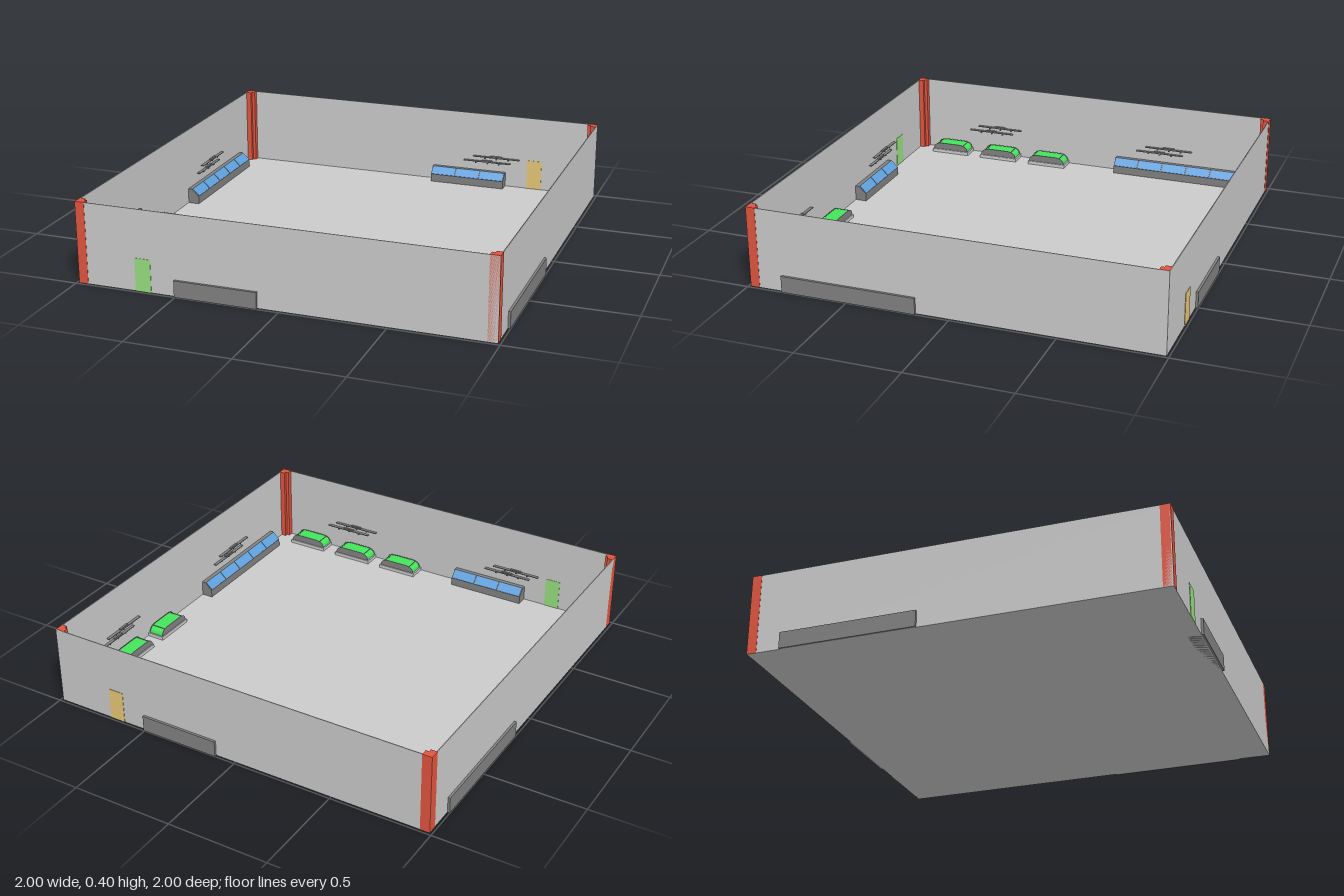
import * as THREE from 'three';

const W = 0.988, H = 0.395, T = 0.004;
const mat = (color) => new THREE.MeshStandardMaterial({ color });
const grey = mat(0xcccccc), dark = mat(0x828282), red = mat(0xe2553f), blue = mat(0x5fa0dc),
  green = mat(0x44e45c), doorGreen = mat(0x98e080), doorYellow = mat(0xe8c878);

function add(parent, name, geo, material, x = 0, y = 0, z = 0) {
  const m = new THREE.Mesh(geo, material);
  m.name = name;
  m.position.set(x, y, z);
  parent.add(m);
  return m;
}
// box given by its min and max corners
function box(parent, name, material, x0, x1, y0, y1, z0, z1) {
  return add(parent, name, new THREE.BoxGeometry(x1 - x0, y1 - y0, z1 - z0), material,
    (x0 + x1) / 2, (y0 + y1) / 2, (z0 + z1) / 2);
}
const shapeOf = (pts) => new THREE.Shape(pts.map((p) => new THREE.Vector2(...p)));
const extrude = (shape, depth) =>
  new THREE.ExtrudeGeometry(shape, { depth, bevelEnabled: false, curveSegments: 10 });

// display counter: sloped blue panels on a dark body, back against the wall
function counter(x0, x1, panels) {
  const g = new THREE.Group();
  g.name = 'counter';
  const front = 0.926, mid = 0.962, back = 0.9995, top = 0.08, lip = 0.045;
  // profile drawn in (-z, y), turned so that it runs along x
  const body = extrude(shapeOf([[-back, 0], [-front, 0], [-front, lip], [-mid, top], [-back, top]]), x1 - x0);
  body.rotateY(Math.PI / 2);
  add(g, 'counterBody', body, dark, x0, 0, 0);
  const step = (x1 - x0) / panels, dz = mid - front, dy = top - lip;
  const len = Math.hypot(dz, dy);
  for (let i = 0; i < panels; i++) {
    const p = add(g, 'counterPanel', new THREE.BoxGeometry(step - 0.007, 0.003, len * 0.96), blue,
      x0 + (i + 0.5) * step, (top + lip) / 2 + 0.0007, (front + mid) / 2 - 0.0007);
    p.rotation.x = -Math.atan2(dy, dz);
  }
  return g;
}

// low chest with a rounded green hood and dark bands
function chest(xc) {
  const g = new THREE.Group();
  g.name = 'chest';
  g.position.set(xc, 0, 0.937);
  box(g, 'chestBase', grey, -0.105, 0.105, 0, 0.022, -0.044, 0.044);
  const arch = (half, top) => {
    const s = new THREE.Shape();
    s.moveTo(-half, 0.02);
    s.bezierCurveTo(-half, top * 0.8, -half * 0.8, top, -half * 0.5, top);
    s.lineTo(half * 0.5, top);
    s.bezierCurveTo(half * 0.8, top, half, top * 0.8, half, 0.02);
    return s;
  };
  add(g, 'chestHood', extrude(arch(0.098, 0.056), 0.072), green, 0, 0, -0.036);
  for (const s of [-1, 1]) {
    box(g, 'chestBand', dark, s * 0.072 - 0.002, s * 0.072 + 0.002, 0.02, 0.055, -0.038, 0.038);
    add(g, 'chestRim', extrude(arch(0.1, 0.058), 0.003), dark, 0, 0, s * 0.0375 - 0.0015);
  }
  return g;
}

// two staggered wall shelves with small brackets and items
function shelves(x0, x1) {
  const g = new THREE.Group();
  g.name = 'wallShelves';
  [[x0, x1 - 0.05, 0.155], [x0 + 0.05, x1, 0.128]].forEach(([a, b, y]) => {
    box(g, 'shelf', dark, a, b, y, y + 0.004, W - 0.02, W - 0.002);
    for (const t of [0.25, 0.5, 0.75]) {
      const x = a + (b - a) * t;
      box(g, 'shelfBracket', dark, x - 0.003, x + 0.003, y - 0.01, y, W - 0.014, W - 0.002);
    }
    const c = (a + b) / 2;
    box(g, 'shelfItem', dark, c - 0.03, c + 0.03, y + 0.004, y + 0.01, W - 0.016, W - 0.006);
  });
  return g;
}

// corner post with a notch on its inner corner
function post(outZ, outX) {
  const s = 0.046, n = 0.016;
  const geo = extrude(shapeOf([[-outX, -outZ], [s, -outZ], [s, s - n], [s - n, s - n],
    [s - n, s], [-outX, s]]), H + 0.001);
  // shape y runs inward from the wall
  geo.rotateX(-Math.PI / 2);
  const m = new THREE.Mesh(geo, red);
  m.name = 'cornerPost';
  m.position.set(-W, 0, W);
  return m;
}

export function createModel() {
  const root = new THREE.Group();
  root.name = 'room';
  box(root, 'floor', grey, -W, W, 0, T, -W, W);

  // every side is built facing +z and turned into place
  const sides = [
    { name: 'frontSide', turn: 0, bench: [-0.505, -0.105, 3], chests: true, door: doorGreen, out: [0.0015, 0] },
    { name: 'leftSide', turn: Math.PI / 2, bench: [-0.825, -0.163, 5], chests: true, out: [0.0015, 0] },
    { name: 'backSide', turn: Math.PI, bench: [-0.505, -0.105, 3], door: doorYellow, out: [-0.001, -0.001] },
    { name: 'rightSide', turn: -Math.PI / 2, bench: [-0.825, -0.163, 5], chests: true, out: [0.0015, 0.0015] },
  ];
  for (const s of sides) {
    const g = new THREE.Group();
    g.name = s.name;
    g.rotation.y = s.turn;
    box(g, 'wall', grey, -W, W, 0, H, W - T, W);
    g.add(post(...s.out), counter(...s.bench), shelves(-0.58, -0.275));
    if (s.chests) {
      for (const x of [0.215, 0.497, 0.782]) g.add(chest(x));
      g.add(shelves(0.39, 0.69));
    }
    if (s.door) box(g, 'door', s.door, -0.7, -0.622, 0, 0.16, W - 0.006, W + 0.002);
    root.add(g);
  }
  return root;
}
